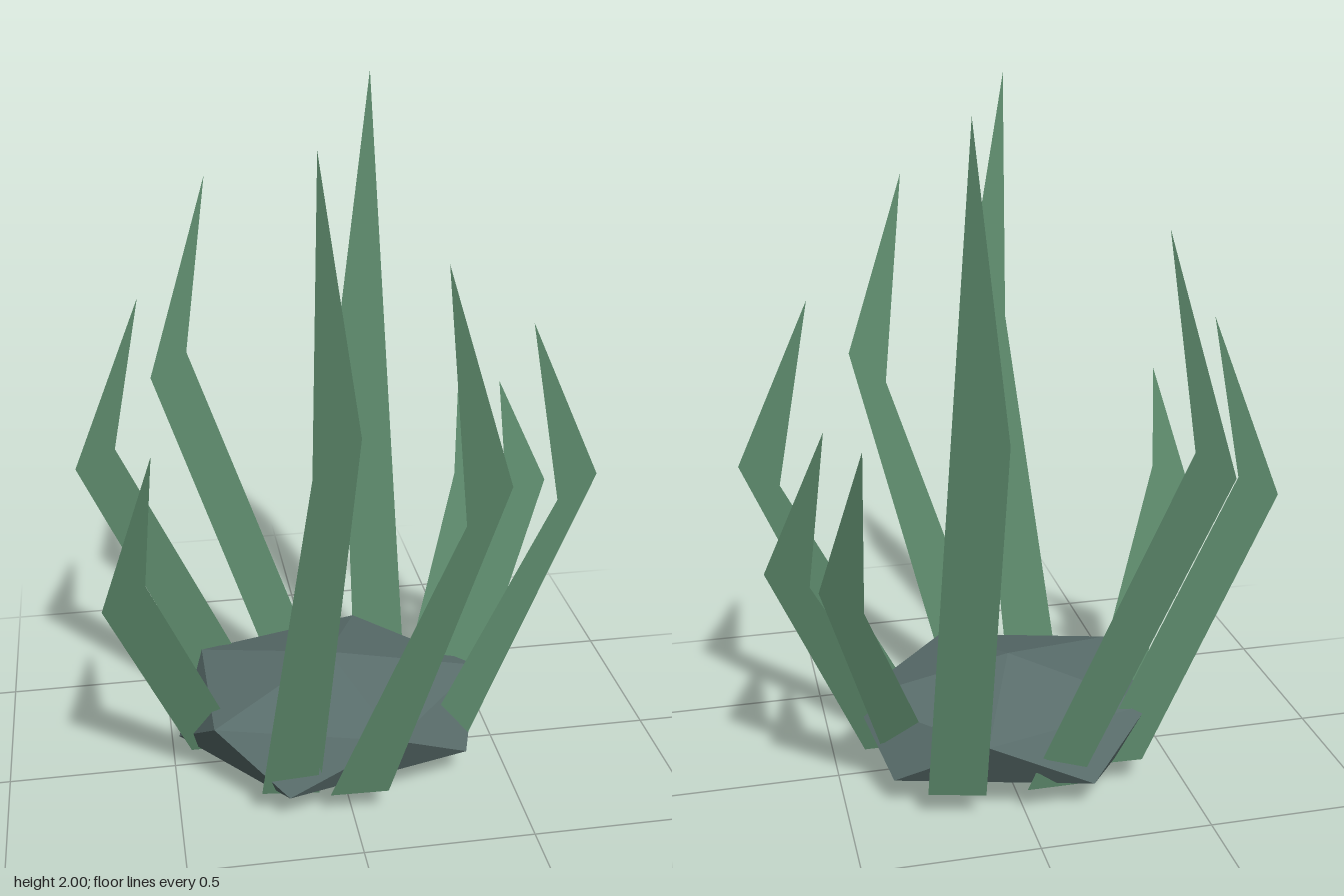
import * as THREE from 'three';

const rockMat = new THREE.MeshStandardMaterial({ name: 'slate grey', color: 0x5a6e6c, flatShading: true });
const leafMat = new THREE.MeshStandardMaterial({ name: 'weed green', color: 0x5d8a6c, side: THREE.DoubleSide });

function indexed(points, faces) {
  const g = new THREE.BufferGeometry();
  g.setAttribute('position', new THREE.Float32BufferAttribute(points.flat(), 3));
  g.setIndex(faces.flat());
  return g;
}

// Squashed twenty-sided rock: two poles and two staggered rings of five
function rockGeometry() {
  const upper = [[0.445, -0.01], [0.12, 0.348], [-0.39, 0.21], [-0.39, -0.24], [0.12, -0.375]];
  const lower = [[0.365, 0.21], [-0.19, 0.352], [-0.483, -0.01], [-0.19, -0.37], [0.365, -0.225]];
  const points = [
    [-0.02, 0.355, -0.01],
    ...upper.map(([x, z]) => [x, 0.26, z]),
    ...lower.map(([x, z]) => [x, 0.1, z]),
    [-0.02, 0, -0.01],
  ];
  const faces = [];
  for (let i = 0; i < 5; i++) {
    const j = (i + 1) % 5;
    const u = 1 + i, v = 1 + j, a = 6 + i, b = 6 + j;
    faces.push([0, v, u], [u, v, a], [v, b, a], [11, a, b]);
  }
  const flat = indexed(points, faces).toNonIndexed();
  flat.computeVertexNormals();
  return flat;
}

// Blade corners: base -x, base +x, bend -x, bend +x, tip.
// Straight blades fold along base-to-tip, bent ones fold across the bend.
const STRAIGHT = [[0, 1, 2], [1, 4, 2], [1, 3, 4]];
const BENT = [[0, 1, 2], [1, 3, 2], [2, 3, 4]];

// One shared normal per blade keeps it a single even facet
function bladeGeometry(corners, faces) {
  const p = corners.map((c) => new THREE.Vector3(...c));
  const normal = new THREE.Vector3();
  for (const [a, b, c] of faces) {
    normal.add(p[b].clone().sub(p[a]).cross(p[c].clone().sub(p[a])));
  }
  normal.normalize();
  const g = indexed(corners, faces);
  g.setAttribute('normal', new THREE.Float32BufferAttribute(corners.flatMap(() => normal.toArray()), 3));
  return g;
}

const Y = 0.087;
const straightBlades = {
  frontBlade: [[-0.265, Y, 0.3], [-0.1, Y, 0.32], [-0.16, 1.23, 0.625], [-0.04, 1.33, 0.625], [-0.13, 2, 0.53]],
  backBlade: [[0.12, Y, -0.34], [0.28, Y, -0.3], [0.12, 1.23, -0.625], [0.24, 1.33, -0.625], [0.19, 2, -0.53]],
};
const bentBlades = {
  frontLeftBlade: [[-0.07, Y, 0.34], [0.1, Y, 0.345], [0.24, 1.05, 0.575], [0.355, 1.15, 0.575], [0.19, 1.715, 0.51]],
  leftBlade: [[0.21, Y, 0.175], [0.36, Y, 0.165], [0.62, 0.89, 0.145], [0.735, 0.96, 0.135], [0.52, 1.43, 0.15]],
  leftBackBlade: [[0.265, Y, -0.015], [0.42, Y, -0.015], [0.58, 0.73, -0.225], [0.7, 0.78, -0.225], [0.52, 1.145, -0.16]],
  backLeftBlade: [[0.22, Y, -0.105], [0.365, Y, -0.1], [0.46, 0.73, -0.42], [0.575, 0.8, -0.42], [0.44, 1.145, -0.335]],
  backRightBlade: [[-0.15, Y, -0.34], [0, Y, -0.34], [-0.495, 1.07, -0.55], [-0.38, 1.15, -0.55], [-0.31, 1.715, -0.495]],
  rightBlade: [[-0.37, Y, -0.255], [-0.21, Y, -0.25], [-0.74, 0.9, -0.27], [-0.62, 0.96, -0.265], [-0.53, 1.425, -0.26]],
  frontRightBlade: [[-0.45, Y, 0.05], [-0.295, Y, 0.05], [-0.685, 0.73, 0.3], [-0.565, 0.8, 0.3], [-0.53, 1.145, 0.23]],
};

export function createModel() {
  const model = new THREE.Group();
  model.name = 'seaweedOnRock';

  const rock = new THREE.Mesh(rockGeometry(), rockMat);
  rock.name = 'rock';
  model.add(rock);

  for (const [blades, faces] of [[straightBlades, STRAIGHT], [bentBlades, BENT]]) {
    for (const [name, corners] of Object.entries(blades)) {
      const blade = new THREE.Mesh(bladeGeometry(corners, faces), leafMat);
      blade.name = name;
      model.add(blade);
    }
  }
  return model;
}
